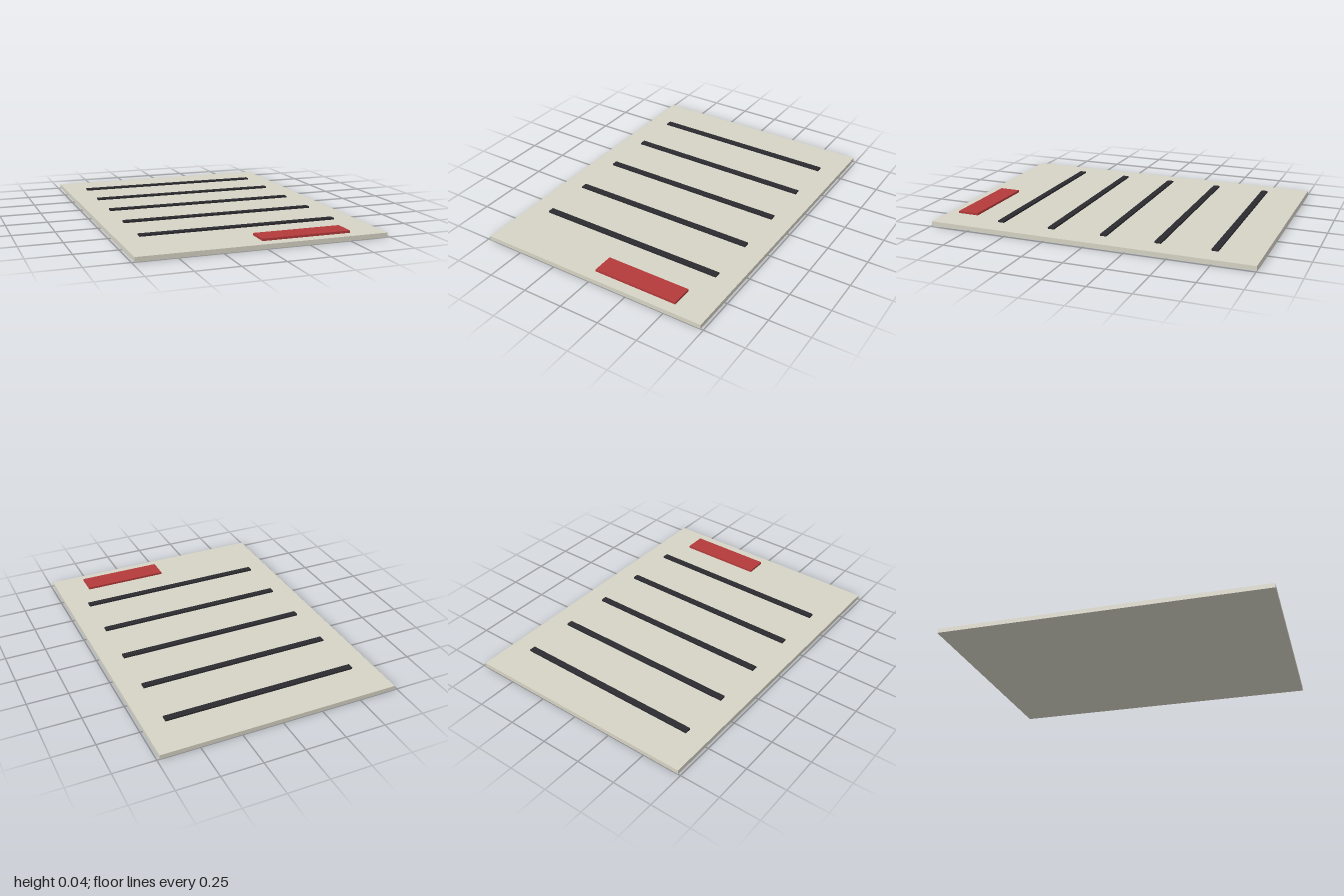
import * as THREE from 'three';

export function createModel() {
  const model = new THREE.Group();
  const plateTop = 0.027;

  // Box from its size, centre on the ground plane and bottom height
  function addBox(name, color, [w, h, d], x, bottom, z) {
    const mesh = new THREE.Mesh(
      new THREE.BoxGeometry(w, h, d),
      new THREE.MeshStandardMaterial({ color })
    );
    mesh.name = name;
    mesh.position.set(x, bottom + h / 2, z);
    model.add(mesh);
  }

  // Flat sheet
  addBox('sheet', 0xd6d3c4, [1.467, plateTop, 2], 0, 0, 0);

  // Five evenly spaced dark lines across the sheet
  for (let i = 0; i < 5; i++) {
    addBox(`line${i + 1}`, 0x2b2b30, [1.2, 0.01, 0.04], 0, plateTop, -0.733 + i / 3);
  }

  // Red stamp block near the front edge
  addBox('stamp', 0xb33a3a, [0.533, 0.0135, 0.133], 0.267, plateTop, 0.867);

  return model;
}
